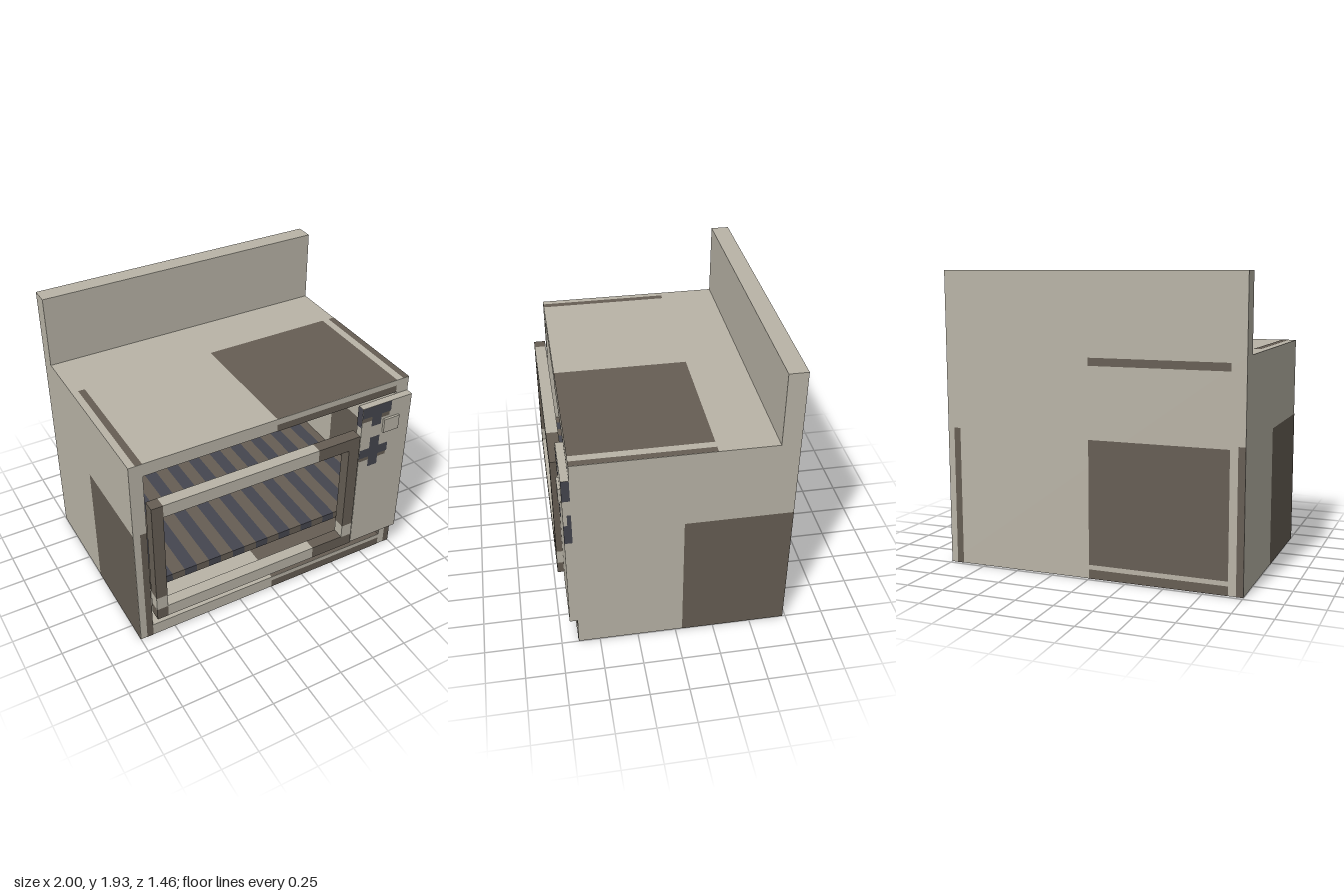
import * as THREE from 'three';

const material = (name, color) => {
  const m = new THREE.MeshStandardMaterial({ color });
  m.name = name;
  return m;
};

export function createModel() {
  const model = new THREE.Group();
  model.name = 'oven';
  const beige = material('beige enamel', 0xb9b4a7);
  const brown = material('dark brown', 0x665e54);
  const slate = material('slate blue', 0x45464f);

  // Box given by its limits on each axis
  function box(name, mat, [x0, x1], [y0, y1], [z0, z1], parent = model) {
    const mesh = new THREE.Mesh(new THREE.BoxGeometry(x1 - x0, y1 - y0, z1 - z0), mat);
    mesh.position.set((x0 + x1) / 2, (y0 + y1) / 2, (z0 + z1) / 2);
    mesh.name = name;
    parent.add(mesh);
  }

  // Painted face: a range on two axes, lying just above a surface.
  // x faces take (z, y) ranges, y faces take (x, z), z faces take (x, y).
  function paint(name, mat, axis, sign, at, [a0, a1], [b0, b1], parent = model) {
    const mesh = new THREE.Mesh(new THREE.PlaneGeometry(a1 - a0, b1 - b0), mat);
    const a = (a0 + a1) / 2, b = (b0 + b1) / 2, d = at + sign * 0.002;
    if (axis === 'x') {
      mesh.position.set(d, b, a);
      mesh.rotation.y = sign * Math.PI / 2;
    } else if (axis === 'y') {
      mesh.position.set(a, d, b);
      mesh.rotation.x = -sign * Math.PI / 2;
    } else {
      mesh.position.set(a, b, d);
      if (sign < 0) mesh.rotation.y = Math.PI;
    }
    mesh.name = name;
    parent.add(mesh);
  }

  // Hollow body, open at the front, with a splash back
  const body = new THREE.Group();
  body.name = 'body';
  model.add(body);
  const outline = new THREE.Shape([[-1, 0], [1, 0], [1, 1.44], [-1, 1.44]].map(p => new THREE.Vector2(...p)));
  outline.holes.push(new THREE.Path(
    [[-0.91, 0.09], [-0.91, 1.35], [0.91, 1.35], [0.91, 0.09]].map(p => new THREE.Vector2(...p))));
  const shell = new THREE.Mesh(new THREE.ExtrudeGeometry(outline, { depth: 1.28, bevelEnabled: false }), beige);
  shell.position.z = -0.64;
  shell.name = 'shell';
  body.add(shell);
  box('backWall', beige, [-1, 1], [0, 1.44], [-0.73, -0.64], body);
  box('splashBack', beige, [-1, 1], [1.44, 1.93], [-0.73, -0.61], body);

  // Brown patches on the outside; front and back mirror each other
  const patches = new THREE.Group();
  patches.name = 'patches';
  model.add(patches);
  for (const s of [1, -1]) {
    const at = s > 0 ? 0.64 : -0.73;
    const range = (a, b) => s > 0 ? [a, b] : [-b, -a];
    paint('upperStrip', brown, 'z', s, at, range(0, 0.905), [1.35, 1.4], patches);
    paint('lowerStrip', brown, 'z', s, at, range(0, 0.905), [0, 0.06], patches);
    paint('sideStrip', brown, 'z', s, at, range(-0.955, -0.91), [0, 0.91], patches);
    paint('sideStrip', brown, 'z', s, at, range(0.955, 1), [0, 0.91], patches);
  }
  paint('backPatch', brown, 'z', -1, -0.73, [-0.905, 0], [0.09, 0.89], patches);
  paint('leftPatch', brown, 'x', 1, 1, [-0.73, -0.045], [0, 0.915], patches);
  paint('rightPatch', brown, 'x', -1, -1, [-0.045, 0.64], [0, 0.915], patches);
  for (const [sign, at, z] of [[1, 1.44, [-0.235, 0.64]], [-1, 0, [-0.73, 0.125]]]) {
    for (const x of [[0, 0.905], [-0.955, -0.91], [0.955, 1]]) {
      paint('horizontalPatch', brown, 'y', sign, at, x, z, patches);
    }
  }

  // Brown patches inside the cavity
  paint('cavityBackPatch', brown, 'z', 1, -0.64, [0, 0.905], [0.09, 0.89], patches);
  paint('cavitySidePatch', brown, 'x', 1, -0.91, [-0.64, -0.045], [0.09, 0.91], patches);
  paint('cavitySidePatch', brown, 'x', -1, 0.91, [-0.045, 0.64], [0.09, 0.91], patches);
  paint('cavityFloorPatch', brown, 'y', 1, 0.09, [0, 0.905], [-0.235, 0.64], patches);
  paint('cavityCeilingPatch', brown, 'y', -1, 1.35, [0, 0.905], [-0.64, 0.125], patches);

  // Rack of alternating slats running front to back
  const rack = new THREE.Group();
  rack.name = 'rack';
  model.add(rack);
  const edges = [-0.91];
  for (let x = -0.833; x < 0.9; x += 0.0885) edges.push(x);
  edges.push(0.91);
  for (let i = 0; i < edges.length - 1; i++) {
    box('slat', i % 2 ? slate : brown, [edges[i], edges[i + 1]], [0.41, 0.465], [-0.64, 0.625], rack);
  }

  // Open door frame
  const door = new THREE.Group();
  door.name = 'doorFrame';
  model.add(door);
  const depth = [0.65, 0.73];
  for (const x of [[-0.91, -0.833], [0.5, 0.58]]) {
    box('uprightFoot', brown, x, [0.23, 0.315], depth, door);
    box('uprightBand', beige, x, [0.315, 0.415], depth, door);
    box('upright', brown, x, [0.415, 1.16], depth, door);
  }
  for (const y of [[0.23, 0.32], [1.07, 1.16]]) {
    box('rail', beige, [-0.833, 0.265], y, depth, door);
    box('railEnd', brown, [0.265, 0.5], y, depth, door);
  }

  // Control panel with cross-shaped knobs and a button
  const panel = new THREE.Group();
  panel.name = 'controlPanel';
  model.add(panel);
  box('panel', beige, [0.615, 1], [0.19, 1.335], [0.64, 0.69], panel);
  box('button', beige, [0.785, 0.905], [1.1, 1.205], [0.69, 0.706], panel);
  const front = (name, mat, x, y) => paint(name, mat, 'z', 1, 0.69, x, y, panel);
  front('upperKnobBar', slate, [0.615, 0.84], [1.255, 1.335]);
  front('upperKnobStem', slate, [0.692, 0.767], [1.175, 1.255]);
  front('lowerKnobBar', slate, [0.615, 0.84], [0.93, 1.0]);
  front('lowerKnobStem', slate, [0.692, 0.767], [1.0, 1.085]);
  front('lowerKnobStem', slate, [0.692, 0.767], [0.845, 0.93]);
  for (const y of [[1.225, 1.255], [0.905, 0.93]]) {
    front('knobEdge', brown, [0.615, 0.692], y);
    front('knobEdge', brown, [0.767, 0.83], y);
  }
  for (const [sign, at] of [[1, 1], [-1, 0.615]]) {
    paint('panelSideMark', slate, 'x', sign, at, [0.64, 0.69], [1.185, 1.335], panel);
    paint('panelSideMark', slate, 'x', sign, at, [0.64, 0.69], [0.86, 1.0], panel);
    paint('panelSideMark', slate, 'x', sign, at, [0.64, 0.665], [1.0, 1.08], panel);
  }
  return model;
}
